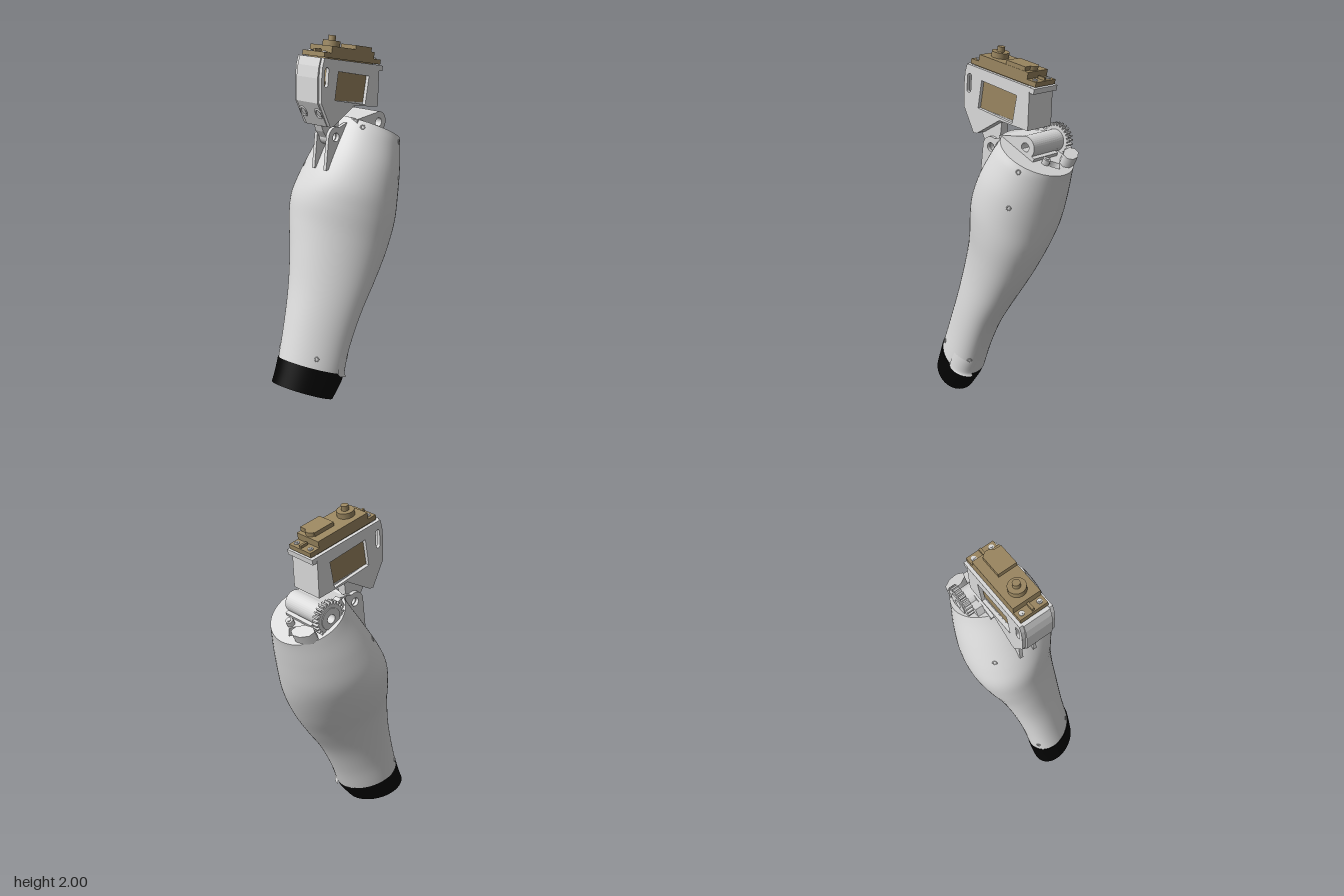
import * as THREE from 'three';

const mat = (name, color) => Object.assign(new THREE.MeshStandardMaterial({ color, side: THREE.DoubleSide }), { name });

export function createModel() {
  const grey = mat('pale grey shell', 0xdadada);
  const tan = mat('tan servo', 0x9a8660);
  const black = mat('black foot cover', 0x030303);
  const root = new THREE.Group();
  root.name = 'mechanicalLimb';

  const add = (parent, name, geo, material, x = 0, y = 0, z = 0) => {
    const m = new THREE.Mesh(geo, material);
    m.name = name;
    m.position.set(x, y, z);
    parent.add(m);
    return m;
  };
  const box = (p, name, m, x0, x1, y0, y1, z0, z1) =>
    add(p, name, new THREE.BoxGeometry(x1 - x0, y1 - y0, z1 - z0), m, (x0 + x1) / 2, (y0 + y1) / 2, (z0 + z1) / 2);
  const disc = (p, name, m, r, h, x, y, z, n = 24) => add(p, name, new THREE.CylinderGeometry(r, r, h, n), m, x, y, z);

  // Side profile given as [z, y] points, extruded from x0 to x1
  const arc = (z, y, r, a0, a1, n = 20) => Array.from({ length: n + 1 }, (_, i) => {
    const a = THREE.MathUtils.degToRad(a0 + (a1 - a0) * i / n);
    return [z + r * Math.cos(a), y + r * Math.sin(a)];
  });
  const path = (pts) => pts.map(([z, y]) => new THREE.Vector2(z, y));
  const plate = (name, pts, x0, x1, holes = []) => {
    const s = new THREE.Shape(path(pts));
    holes.forEach((h) => s.holes.push(new THREE.Path(path(h))));
    const g = new THREE.ExtrudeGeometry(s, { depth: x1 - x0, bevelEnabled: false });
    g.rotateY(-Math.PI / 2).translate(x1, 0, 0);
    return add(root, name, g, grey);
  };

  // Tilted oval sections: [front z, front y, back z, back y, min x, max x, skew]
  const loft = (secs) => {
    const curve = (fn) => new THREE.CatmullRomCurve3(secs.map((s) => new THREE.Vector3(...fn(s))), false, 'catmullrom');
    const f = curve((s) => [s[4], s[1], s[0]]), b = curve((s) => [s[5], s[3], s[2]]), k = curve((s) => [s[6], 0, 0]);
    return (t, a) => {
      const F = f.getPoint(t), B = b.getPoint(t), c = Math.cos(a), s = Math.sin(a - k.getPoint(t).x);
      return new THREE.Vector3((F.x + B.x) / 2 + (B.x - F.x) / 2 * c,
        (F.y + B.y) / 2 + (F.y - B.y) / 2 * s, (F.z + B.z) / 2 + (F.z - B.z) / 2 * s);
    };
  };
  const skin = (at, rows, cols = 56, a0 = 0, a1 = Math.PI * 2) => {
    const pos = [], idx = [], closed = a1 - a0 > 6.2, n = closed ? cols : cols + 1;
    for (let j = 0; j <= rows; j++)
      for (let i = 0; i < n; i++) pos.push(...at(j / rows, a0 + (a1 - a0) * i / cols).toArray());
    for (let j = 0; j < rows; j++)
      for (let i = 0; i < cols; i++) {
        const p = j * n + i, q = j * n + (i + 1) % n;
        idx.push(p, p + n, q, q, p + n, q + n);
      }
    const g = new THREE.BufferGeometry();
    g.setAttribute('position', new THREE.Float32BufferAttribute(pos, 3));
    g.setIndex(idx);
    g.computeVertexNormals();
    return g;
  };
  const bottom = (at, n = 56) => {
    const pos = [], c = at(0, 0).add(at(0, Math.PI)).multiplyScalar(0.5);
    for (let i = 0; i < n; i++)
      pos.push(...c.toArray(), ...at(0, i / n * Math.PI * 2).toArray(), ...at(0, (i + 1) / n * Math.PI * 2).toArray());
    const g = new THREE.BufferGeometry();
    g.setAttribute('position', new THREE.Float32BufferAttribute(pos, 3));
    g.computeVertexNormals();
    return g;
  };

  // Limb shell
  const leg = loft([
    [0.39, 0.26, 0.085, 0.13, -0.106, 0.21, 0.36],
    [0.33, 0.45, 0.03, 0.28, -0.118, 0.21, 0.4],
    [0.27, 0.65, -0.05, 0.45, -0.145, 0.221, 0.42],
    [0.225, 0.85, -0.16, 0.62, -0.186, 0.236, 0.42],
    [0.195, 1.0, -0.25, 0.77, -0.237, 0.254, 0.36],
    [0.17, 1.13, -0.325, 0.93, -0.273, 0.272, 0.25],
    [0.127, 1.236, -0.37, 1.07, -0.278, 0.275, 0.12],
    [0.055, 1.36, -0.405, 1.22, -0.258, 0.262, 0.04],
    [-0.03, 1.49, -0.43, 1.335, -0.228, 0.23, 0],
    [-0.075, 1.56, -0.44, 1.374, -0.215, 0.208, 0],
  ]);
  add(root, 'limbShell', skin(leg, 54), grey);

  // Flap behind the ankle
  const flap = loft([
    [0.36, 0.235, 0.078, 0.115, -0.106, 0.224, 0.36],
    [0.385, 0.26, 0.083, 0.14, -0.106, 0.22, 0.36],
    [0.36, 0.36, 0.055, 0.21, -0.106, 0.209, 0.38],
  ]);
  add(root, 'ankleFlap', skin(flap, 8, 12, -1, 0.1), grey);

  // Foot cover with a bevelled heel
  const foot = loft([
    [0.44, 0.125, 0.17, 0.003, -0.105, 0.202, 0.38],
    [0.42, 0.18, 0.1, 0.1, -0.107, 0.214, 0.37],
    [0.392, 0.262, 0.093, 0.136, -0.108, 0.213, 0.36],
  ]);
  add(root, 'footCover', skin(foot, 10), black);
  add(root, 'footSole', bottom(foot), black);
  const sole = disc(root, 'soleInsert', tan, 0.055, 0.009, 0.048, 0.063, 0.305, 32);
  sole.rotation.x = -0.424;

  // Small screws around the shell: [section, degrees]
  [[8.5, 53], [8.3, -20], [6.7, -25], [0.6, -36], [0.3, 50], [0.3, 150], [6.5, 132]].forEach(([s, deg]) => {
    const t = s / 9, a = THREE.MathUtils.degToRad(deg), p = leg(t, a);
    const n = leg(t + 0.01, a).sub(p).cross(leg(t, a + 0.02).sub(p)).normalize();
    const rim = add(root, 'screwRim', new THREE.TorusGeometry(0.011, 0.003, 6, 16), grey, p.x, p.y, p.z);
    rim.lookAt(p.clone().add(n));
  });

  // Sloping cap with a diamond pit and its fittings
  const cap = new THREE.Group();
  cap.name = 'cap';
  cap.position.set(0, 1.467, -0.2575);
  cap.rotation.x = -0.471;
  root.add(cap);
  const face = new THREE.Shape().absellipse(-0.0035, 0, 0.2115, 0.205, 0, Math.PI * 2);
  face.holes.push(new THREE.Path(path([[0.021, 0.12], [-0.017, 0.158], [-0.055, 0.12], [-0.017, 0.082]])));
  add(cap, 'capFace', new THREE.ShapeGeometry(face, 28).rotateX(-Math.PI / 2), grey);
  add(cap, 'capPit', new THREE.CylinderGeometry(0.038, 0.038, 0.08, 4, 1, true), grey, -0.017, -0.04, -0.12);
  const block = disc(cap, 'capBlock', grey, 0.07, 0.06, -0.12, 0.025, -0.122, 8);
  block.scale.z = 0.58;
  block.rotation.y = Math.PI / 8;
  box(cap, 'capFrontBlock', grey, -0.15, -0.107, 0, 0.05, 0.08, 0.14);
  box(cap, 'capBase', grey, -0.1, 0.1, 0, 0.02, -0.06, 0.13);
  [[0.032, -0.092], [-0.107, 0.09]].forEach(([x, z]) => {
    disc(cap, 'hexNut', grey, 0.023, 0.03, x, 0.015, z, 6);
    disc(cap, 'nutBolt', grey, 0.011, 0.006, x, 0.031, z, 16);
  });

  // Pinned rear lug with its toothed gear
  const gz = -0.26, gy = 1.51;
  const bore = [arc(gz, gy, 0.025, 0, 342, 19)];
  const lug = [...arc(gz, gy, 0.06, 70, 270), [-0.12, 1.47], [-0.09, 1.5], [-0.08, 1.55]];
  plate('rearLug', lug, -0.107, 0.1, bore);
  plate('gearHub', arc(gz, gy, 0.06, 0, 348, 29), -0.19, -0.107, bore);
  const teeth = [];
  for (let i = 0; i < 26; i++)
    [[0, 0.078], [0.35, 0.078], [0.5, 0.094], [0.85, 0.094]].forEach(([k, r]) => {
      const a = (i + k) / 26 * Math.PI * 2;
      teeth.push([gz + r * Math.cos(a), gy + r * Math.sin(a)]);
    });
  plate('gear', teeth, -0.185, -0.148, bore);

  // Front hinge: two fins on the limb and a tongue between them
  const pz = 0.027, py = 1.462;
  const pin = [arc(pz, py, 0.024, 0, 342, 19)];
  const fin = [[0.105, 1.29], ...arc(pz, py, 0.057, 10, 120), [-0.06, 1.53], [-0.06, 1.4], [0.05, 1.3]];
  plate('leftHingeFin', fin, 0.026, 0.046, pin);
  plate('rightHingeFin', fin, -0.06, -0.04, pin);
  plate('hingeTongue', [[0.12, 1.55], [0.1, 1.5], ...arc(pz, py, 0.045, 0, -170), [-0.02, 1.52], [-0.03, 1.6]], -0.035, 0.021, pin);

  // Head bracket: windowed side panels joined by walls, the front wall standing slightly proud
  const side = [[0.157, 1.904], [0.172, 1.86], [0.18, 1.8], [0.182, 1.67], [0.115, 1.535], [0.09, 1.535], [-0.07, 1.625],
    [-0.265, 1.595], [-0.275, 1.822]];
  const openings = [
    [[0.053, 1.823], [-0.19, 1.771], [-0.16, 1.62], [0.08, 1.674]],
    [...arc(0.14, 1.84, 0.014, 0, 180, 8), ...arc(0.146, 1.765, 0.014, 180, 360, 8)],
  ];
  plate('rightBracketPanel', side, -0.105, -0.085, openings);
  plate('leftBracketPanel', side, 0.068, 0.088, openings);
  const wall = (name, pts) => plate(name, pts, -0.085, 0.068);
  wall('bracketFrontWall', [[0.165, 1.905], [0.18, 1.86], [0.19, 1.8], [0.192, 1.67], [0.17, 1.67], [0.168, 1.8], [0.145, 1.9]]);
  wall('bracketChin', [[0.192, 1.67], [0.12, 1.535], [0.09, 1.535], [-0.07, 1.625], [-0.05, 1.645]]);
  wall('bracketFloor', [[0.18, 1.67], [-0.265, 1.595], [-0.265, 1.612], [0.18, 1.69]]);
  wall('bracketBackWall', [[-0.265, 1.595], [-0.275, 1.822], [-0.255, 1.826], [-0.245, 1.6]]);
  [-0.064, 0.047].forEach((x) => {
    const s = add(root, 'chinScrew', new THREE.TorusGeometry(0.02, 0.005, 6, 20), grey, x, 1.61, 0.161);
    s.scale.y = 1.4;
    s.lookAt(x, 1.61 - 0.47, 0.161 + 0.88);
  });

  // Servo, tilted with the bracket
  const servo = new THREE.Group();
  servo.name = 'servo';
  servo.position.set(-0.008, 1.878, 0.02);
  servo.rotation.x = -0.188;
  root.add(servo);
  box(servo, 'servoBody', tan, -0.074, 0.074, -0.225, 0.01, -0.27, 0.09);
  box(servo, 'servoFlange', tan, -0.08, 0.08, 0.004, 0.03, -0.325, 0.128);
  box(servo, 'servoTop', tan, -0.08, 0.08, 0.03, 0.066, -0.265, 0.075);
  box(servo, 'gearCover', tan, -0.03, 0.078, 0.066, 0.088, -0.24, -0.11);
  disc(servo, 'gearCoverEnd', tan, 0.034, 0.022, 0.006, 0.077, -0.225);
  disc(servo, 'shaftBoss', tan, 0.047, 0.03, 0, 0.081, 0, 32);
  disc(servo, 'outputShaft', tan, 0.02, 0.03, 0, 0.108, 0);
  box(servo, 'rearShelf', grey, -0.095, 0.095, -0.03, -0.001, -0.332, -0.296);
  box(servo, 'frontShelf', grey, -0.075, 0.075, -0.03, -0.004, 0.09, 0.14);
  [-0.297, 0.1].forEach((z) => {
    box(servo, 'flangeRib', tan, -0.007, 0.007, 0.03, 0.045, z - 0.022, z + 0.022);
    [-0.052, 0.052].forEach((x) => {
      disc(servo, 'flangeScrew', grey, 0.014, 0.008, x, 0.031, z, 16);
      disc(servo, 'flangeScrewHead', grey, 0.008, 0.008, x, 0.034, z, 6);
    });
  });

  return root;
}
